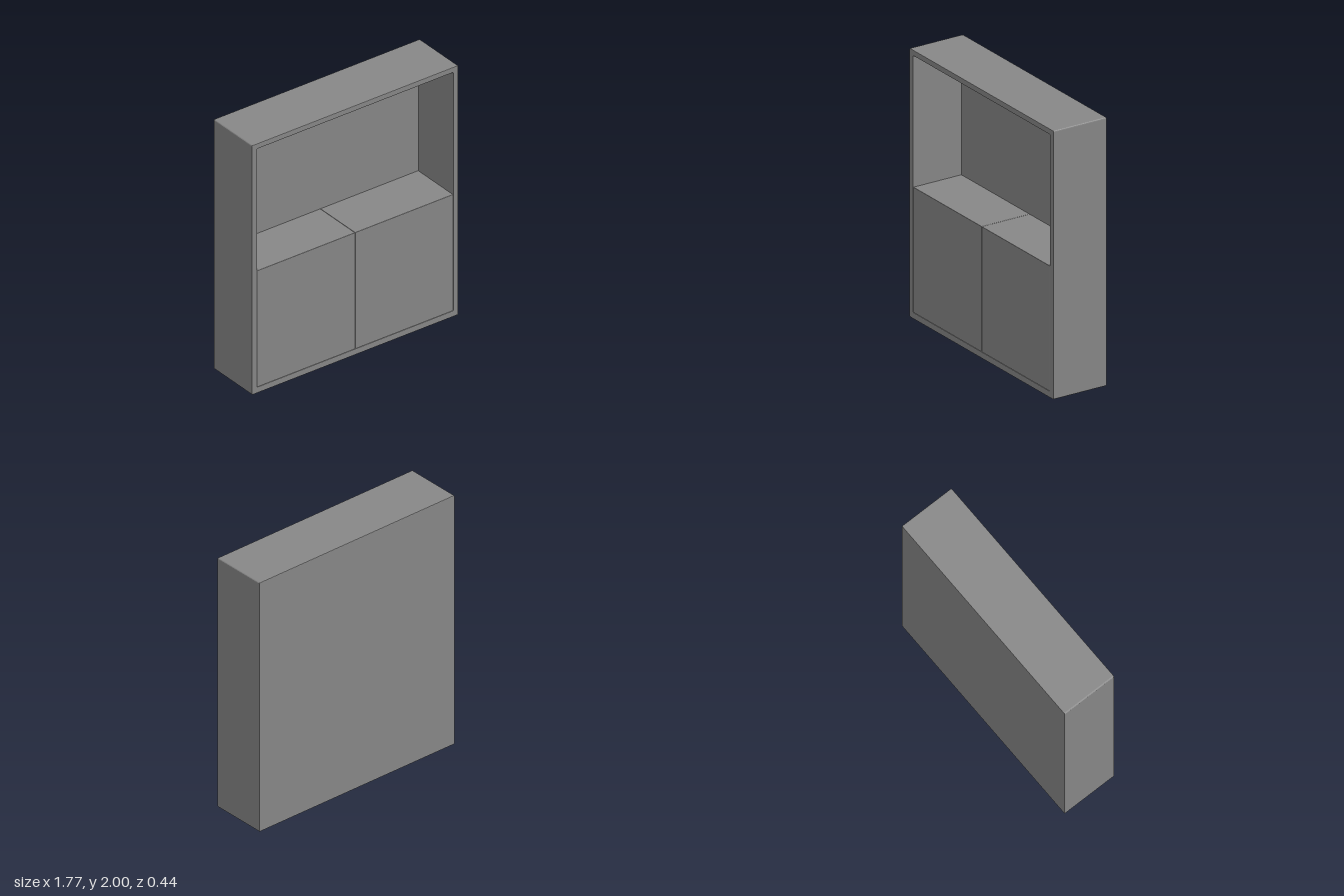
import * as THREE from 'three';
import { RoundedBoxGeometry } from 'three/addons/geometries/RoundedBoxGeometry.js';

const W = 0.887, H = 2, D = 0.44;          // half width, height, depth
const INNER = 0.843, LOW = 0.047, HIGH = 1.958; // opening
const BACK = 0.04, EDGE = 0.005;           // back thickness, edge rounding

const material = new THREE.MeshStandardMaterial({ color: 0x878787 });

function trace(path, halfWidth, bottom, top, r) {
  path.moveTo(-halfWidth + r, bottom);
  path.lineTo(halfWidth - r, bottom);
  path.quadraticCurveTo(halfWidth, bottom, halfWidth, bottom + r);
  path.lineTo(halfWidth, top - r);
  path.quadraticCurveTo(halfWidth, top, halfWidth - r, top);
  path.lineTo(-halfWidth + r, top);
  path.quadraticCurveTo(-halfWidth, top, -halfWidth, top - r);
  path.lineTo(-halfWidth, bottom + r);
  path.quadraticCurveTo(-halfWidth, bottom, -halfWidth + r, bottom);
  return path;
}

function addBlock(group, name, x0, x1, y0, y1, z0, z1, radius) {
  const mesh = new THREE.Mesh(
    new RoundedBoxGeometry(x1 - x0, y1 - y0, z1 - z0, 2, radius), material);
  mesh.position.set((x0 + x1) / 2, (y0 + y1) / 2, (z0 + z1) / 2);
  mesh.name = name;
  group.add(mesh);
}

export function createModel() {
  const cabinet = new THREE.Group();
  cabinet.name = 'cabinet';

  // Outer frame with softened edges inside and out
  const outline = trace(new THREE.Shape(), W, 0, H, 0.01);
  outline.holes.push(trace(new THREE.Path(), INNER, LOW, HIGH, 0.01));
  const frameGeometry = new THREE.ExtrudeGeometry(outline, {
    depth: D - 2 * EDGE, curveSegments: 3,
    bevelSize: EDGE, bevelThickness: EDGE, bevelOffset: -EDGE, bevelSegments: 2,
  });
  frameGeometry.translate(0, 0, -D / 2 + EDGE);
  const frame = new THREE.Mesh(frameGeometry, material);
  frame.name = 'frame';
  cabinet.add(frame);

  // Back panel, let into the frame
  addBlock(cabinet, 'backPanel', -INNER - 0.01, INNER + 0.01, LOW - 0.01, HIGH + 0.01,
    -D / 2, -D / 2 + BACK, 0.002);

  // Pair of closed compartments filling the lower half
  for (const [name, x0, x1] of [
    ['rightCompartment', -INNER + 0.001, -0.0005],
    ['leftCompartment', 0.0005, INNER - 0.001],
  ]) {
    addBlock(cabinet, name, x0, x1, LOW, 0.98, -D / 2 + BACK, D / 2 - 0.002, 0.003);
  }

  return cabinet;
}
